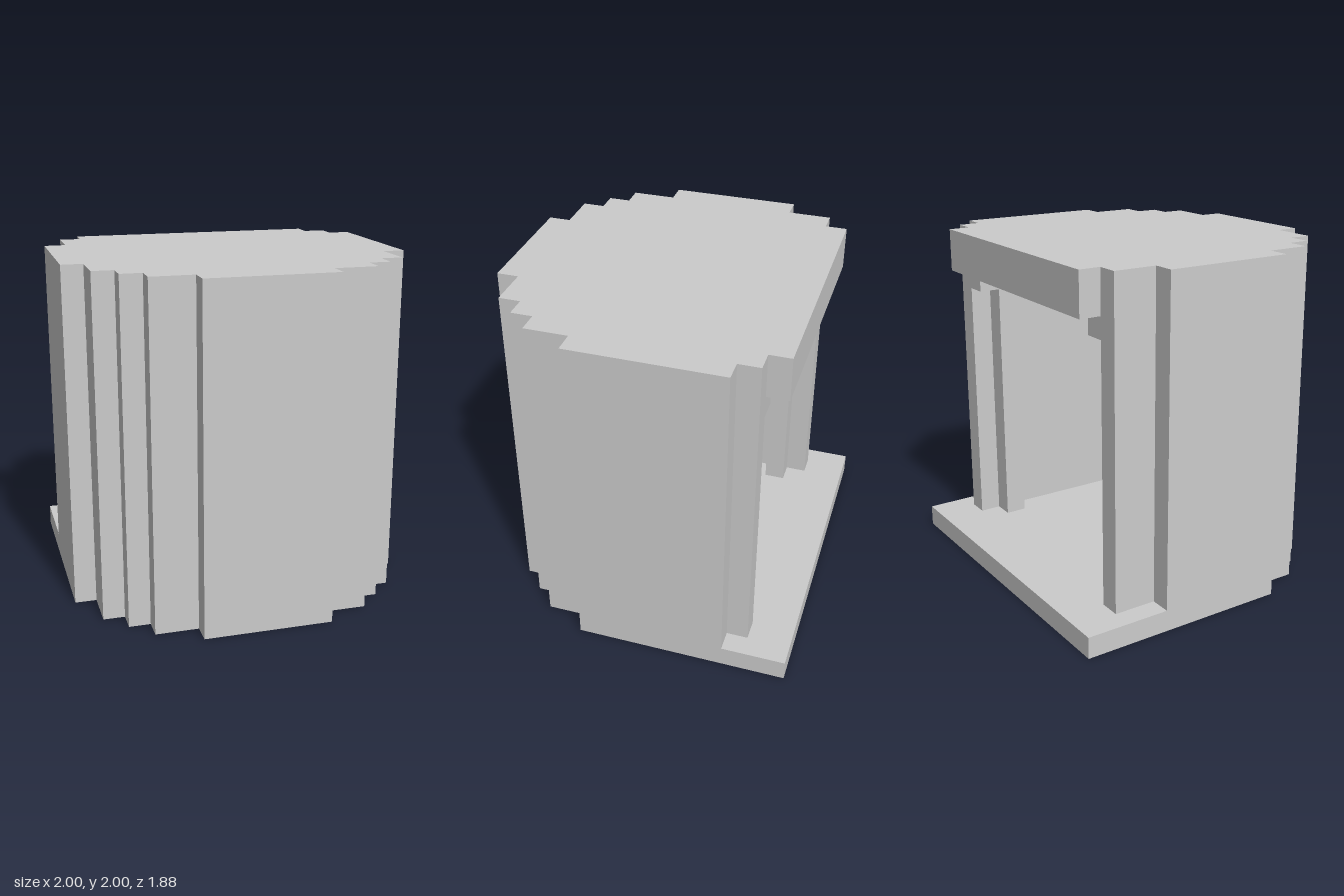
import * as THREE from 'three';

const U = 1 / 16; // all plan and height values are in sixteenths
const material = new THREE.MeshStandardMaterial({ color: 0xcccccc, flatShading: true });

// Extrudes a plan outline of [x, z] points from height y0 to y1
function slab(name, plan, y0, y1) {
  const shape = new THREE.Shape(plan.map(([x, z]) => new THREE.Vector2(x * U, z * U)));
  const geometry = new THREE.ExtrudeGeometry(shape, { depth: (y1 - y0) * U, bevelEnabled: false });
  geometry.rotateX(Math.PI / 2).translate(0, y1 * U, 0);
  const mesh = new THREE.Mesh(geometry, material);
  mesh.name = name;
  return mesh;
}

function block(name, x0, x1, y0, y1, z0, z1) {
  const geometry = new THREE.BoxGeometry((x1 - x0) * U, (y1 - y0) * U, (z1 - z0) * U);
  geometry.translate((x0 + x1) / 2 * U, (y0 + y1) / 2 * U, (z0 + z1) / 2 * U);
  const mesh = new THREE.Mesh(geometry, material);
  mesh.name = name;
  return mesh;
}

// Stepped front from the +x side round to the -x side
function mirrored(half) {
  return [...half, ...half.map(([x, z]) => [-x, z]).reverse()];
}

export function createModel() {
  const group = new THREE.Group();
  group.name = 'steppedShelter';

  const outerFront = mirrored([
    [16, 5], [14, 5], [14, 9], [12, 9], [12, 11], [10, 11], [10, 13], [6, 13], [6, 15],
  ]);
  const innerFront = mirrored([
    [12, 5], [10, 5], [10, 7], [8, 7], [8, 9], [6, 9], [6, 11],
  ]);
  // The side walls end at different depths: leftEnd at +x, rightEnd at -x
  const leftEnd = -9, rightEnd = -7;

  // Floor running out behind the opening
  group.add(slab('floor', [[16, -15], ...outerFront, [-16, -15]], 0, 2));

  // Wall wrapping the room, with the back posts and inner door jambs
  group.add(slab('wall', [
    [14, -11], [14, leftEnd], [16, leftEnd],
    ...outerFront,
    [-16, rightEnd], [-14, rightEnd], [-14, -11], [-12, -11],
    [-12, -9], [-10, -9], [-10, -7], [-12, -7],
    ...innerFront.slice().reverse(),
    [12, -7], [10, -7], [10, -9], [12, -9], [12, -11],
  ], 2, 28));

  // Roof with the lintel projecting over the opening
  group.add(slab('roof', [
    [12, -13], [12, -11], [14, -11], [14, leftEnd], [16, leftEnd],
    ...outerFront,
    [-16, rightEnd], [-14, rightEnd], [-14, -11], [-12, -11], [-12, -13],
  ], 28, 32));

  // Small corner blocks under the lintel
  group.add(block('leftCornerBlock', 10, 12, 26, 28, -11, -9));
  group.add(block('rightCornerBlock', -12, -10, 26, 28, -11, -9));

  return group;
}
